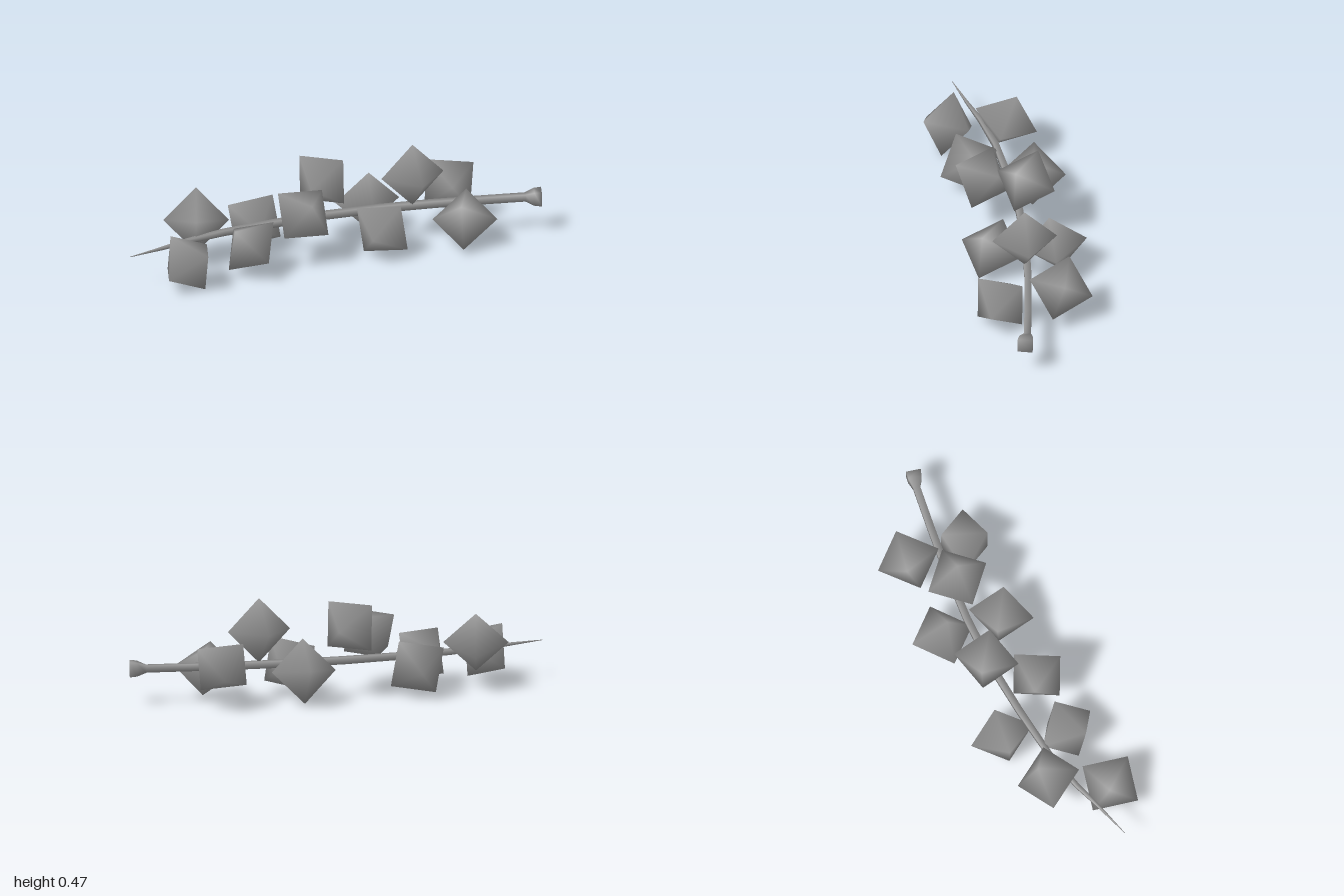
import * as THREE from 'three';

const RADIUS = 0.148;

// Each berry: centre, then two of its perpendicular corner directions
const BERRIES = [
  { at: [-0.61, 0.22, -0.063], a: [0.94, 0, 0.32], b: [-0.29, 0.32, 0.9] },
  { at: [-0.735, 0.13, 0.187], a: [0.38, 0.46, 0.8], b: [0.79, 0.28, -0.52] },
  { at: [-0.415, 0.144, 0.133], a: [0.73, 0.68, -0.03], b: [0.25, -0.22, 0.94] },
  { at: [-0.306, 0.14, -0.14], a: [0.58, 0.82, 0.05], b: [-0.14, 0.05, 0.97] },
  { at: [-0.16, 0.257, 0.115], a: [0.67, -0.61, 0.42], b: [0.03, 0.56, 0.82] },
  { at: [-0.01, 0.333, -0.064], a: [0.56, -0.68, 0.45], b: [-0.61, 0.03, 0.78] },
  { at: [0.24, 0.158, -0.157], a: [0.98, 0, 0.1], b: [0, 0.98, 0.17] },
  { at: [0.213, 0.138, 0.13], a: [0.65, -0.58, 0.47], b: [-0.56, 0, 0.8] },
  { at: [0.4, 0.326, 0.004], a: [1, 0, 0], b: [0, 1, 0] },
  { at: [0.62, 0.196, -0.13], a: [-0.57, 0.75, -0.34], b: [0.8, 0.6, 0] },
  { at: [0.602, 0.137, 0.146], a: [0.9, 0.05, 0.42], b: [-0.27, -0.71, 0.65] },
];

// Stem stations: x, z, half thickness, from the fine tip to the flared end
const STEM = [
  [-0.99, 0.127, 0.001], [-0.83, 0.085, 0.006], [-0.69, 0.043, 0.01], [-0.5, 0.002, 0.013],
  [-0.25, -0.02, 0.015], [0, -0.032, 0.016], [0.25, -0.024, 0.016], [0.5, 0.003, 0.016],
  [0.72, 0.036, 0.016], [0.915, 0.068, 0.016], [0.955, 0.08, 0.031], [0.987, 0.089, 0.034],
];
const STEM_Y = 0.17;

// Square section swept along the stations, smooth-shaded and capped
function stemGeometry() {
  const pos = [], index = [];
  const corners = [[1, 1], [-1, 1], [-1, -1], [1, -1]]; // side, up
  STEM.forEach(([x, z, h], i) => {
    const p = STEM[Math.max(i - 1, 0)], n = STEM[Math.min(i + 1, STEM.length - 1)];
    const len = Math.hypot(n[0] - p[0], n[1] - p[1]);
    const sx = -(n[1] - p[1]) / len, sz = (n[0] - p[0]) / len;
    for (const [s, u] of corners) pos.push(x + sx * s * h, STEM_Y + u * h, z + sz * s * h);
  });
  for (let i = 0; i < STEM.length - 1; i++) {
    for (let k = 0; k < 4; k++) {
      const a = i * 4 + k, b = i * 4 + (k + 1) % 4;
      index.push(a, b, a + 4, b, b + 4, a + 4);
    }
  }
  const end = (STEM.length - 1) * 4;
  index.push(0, 2, 1, 0, 3, 2, end, end + 1, end + 2, end, end + 2, end + 3);
  const geo = new THREE.BufferGeometry();
  geo.setAttribute('position', new THREE.Float32BufferAttribute(pos, 3));
  // Wind the faces outward
  for (let i = 0; i < index.length; i += 3) [index[i + 1], index[i + 2]] = [index[i + 2], index[i + 1]];
  geo.setIndex(index);
  geo.computeVertexNormals();
  return geo;
}

export function createModel() {
  const group = new THREE.Group();
  group.name = 'berryTwig';
  const material = new THREE.MeshStandardMaterial({ color: 0x999999 });

  const stem = new THREE.Mesh(stemGeometry(), material);
  stem.name = 'stem';
  group.add(stem);

  // Eight-faced berries with smooth shading
  const berryGeo = new THREE.SphereGeometry(RADIUS, 4, 2);
  BERRIES.forEach(({ at, a, b }, i) => {
    const x = new THREE.Vector3(...a).normalize();
    const z = new THREE.Vector3().crossVectors(x, new THREE.Vector3(...b)).normalize();
    const y = new THREE.Vector3().crossVectors(z, x);
    const berry = new THREE.Mesh(berryGeo, material);
    berry.name = `berry${i + 1}`;
    berry.quaternion.setFromRotationMatrix(new THREE.Matrix4().makeBasis(x, y, z));
    berry.position.set(...at);
    group.add(berry);
  });
  return group;
}
